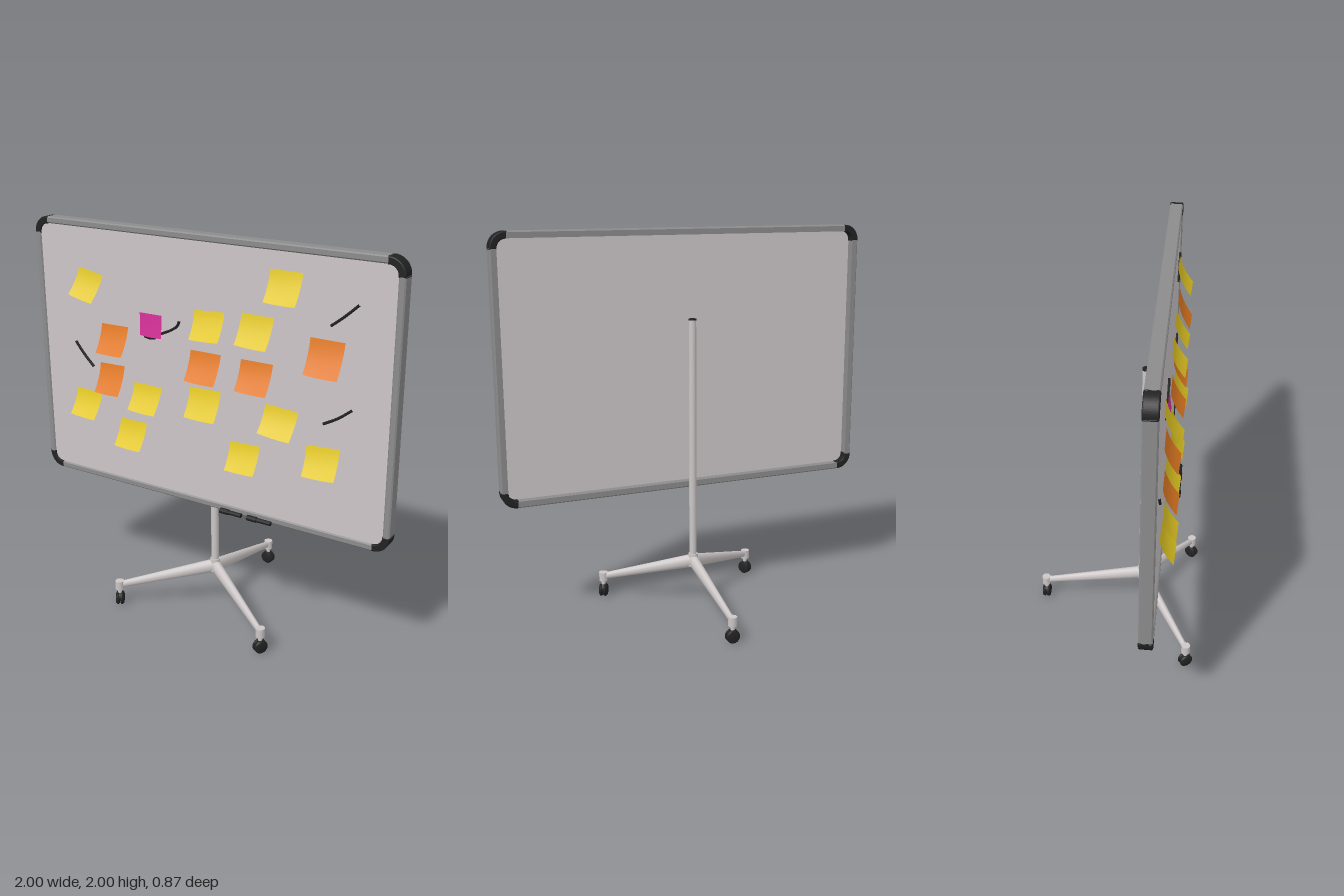
import * as THREE from 'three';

const mat = (name, color, side = THREE.FrontSide) => {
  const m = new THREE.MeshStandardMaterial({ color, side });
  m.name = name;
  return m;
};

export function createModel() {
  const root = new THREE.Group();
  root.name = 'mobileWhiteboard';
  const panelMat = mat('board surface', 0xcdc6c9);
  const frameMat = mat('frame grey', 0x8c8c8c);
  const metalMat = mat('stand metal', 0xccc6c6);
  const blackMat = mat('black plastic', 0x222222);
  const yellow = mat('yellow paper', 0xe2c722, THREE.DoubleSide);
  const orange = mat('orange paper', 0xe27a22, THREE.DoubleSide);
  const pink = mat('pink paper', 0xd8329a, THREE.DoubleSide);

  const add = (name, geo, material, x = 0, y = 0, z = 0, parent = root) => {
    const m = new THREE.Mesh(geo, material);
    m.name = name;
    m.position.set(x, y, z);
    parent.add(m);
    return m;
  };

  // ---- Board: panel, four rails, four corner caps ----
  const CY = 1.318, HW = 1, HH = 0.682, BACK = 0.182, DEPTH = 0.066, R = 0.08, W = 0.034;
  const board = new THREE.Group();
  board.name = 'board';
  board.position.set(0, CY, 0);
  root.add(board);

  add('panel', new THREE.BoxGeometry(2 * HW - 0.05, 2 * HH - 0.05, 0.018), panelMat, 0, 0, 0.233, board);

  // Rail with its outer face at +y and softened edges, running along x
  const bevel = 0.006;
  const rail = (length) => {
    const p = new THREE.Shape();
    const h = DEPTH, b = bevel;
    p.moveTo(0, 0);
    p.lineTo(W - b, 0);
    p.lineTo(W, b);
    p.lineTo(W, h - b);
    p.lineTo(W - b, h);
    p.lineTo(b, h);
    p.lineTo(0, h - b);
    const g = new THREE.ExtrudeGeometry(p, { depth: length, bevelEnabled: false });
    // profile x becomes +y, profile y becomes +z, extrusion becomes x
    g.translate(-W, 0, -length / 2);
    g.applyMatrix4(new THREE.Matrix4().makeBasis(
      new THREE.Vector3(0, 1, 0), new THREE.Vector3(0, 0, 1), new THREE.Vector3(1, 0, 0)));
    return g;
  };
  for (let i = 0; i < 4; i++) {
    const across = i % 2 === 0;
    const m = add('frameRail', rail(2 * ((across ? HW : HH) - R)), frameMat, 0, 0, BACK, board);
    m.rotation.z = i * Math.PI / 2;
    const d = across ? HH : HW;
    m.position.x = -Math.sin(m.rotation.z) * d;
    m.position.y = Math.cos(m.rotation.z) * d;
  }

  // Quarter-ring corner cap
  const ring = new THREE.Shape();
  const outer = R - bevel, inner = R - W - 0.002 + bevel;
  ring.absarc(0, 0, outer, 0, Math.PI / 2, false);
  ring.absarc(0, 0, inner, Math.PI / 2, 0, true);
  const cornerGeo = new THREE.ExtrudeGeometry(ring, {
    depth: DEPTH - 0.01, bevelThickness: bevel, bevelSize: bevel, bevelSegments: 2, curveSegments: 10,
  });
  [[1, 1], [-1, 1], [-1, -1], [1, -1]].forEach(([sx, sy], i) => {
    const m = add('cornerCap', cornerGeo, blackMat, sx * (HW - R), sy * (HH - R), BACK + 0.005, board);
    m.rotation.z = i * Math.PI / 2;
  });

  // ---- Sticky notes: sheets curling away from the board towards the bottom ----
  const note = (name, material, x, y, w, h, tilt, lift = 0.068) => {
    const g = new THREE.PlaneGeometry(w, h, 6, 8);
    const p = g.attributes.position;
    for (let i = 0; i < p.count; i++) {
      const t = 0.5 - p.getY(i) / h, s = p.getX(i) / w;
      p.setZ(i, lift * (0.4 * t + 0.6 * t * t) + 0.006 * t * s);
      p.setY(i, p.getY(i) + 0.012 * t * (s * s - 0.1));
    }
    g.computeVertexNormals();
    add(name, g, material, x, y, 0.255).rotation.z = tilt;
  };
  [
    [-0.66, 1.69, 0.148, 0.135, -0.19], [0.05, 1.583, 0.165, 0.13, 0.05],
    [0.305, 1.595, 0.168, 0.14, -0.03], [0.45, 1.815, 0.163, 0.14, -0.01],
    [-0.32, 1.155, 0.165, 0.13, -0.02], [0.022, 1.19, 0.175, 0.14, 0.01],
    [0.435, 1.18, 0.172, 0.13, -0.07], [-0.695, 1.06, 0.158, 0.13, -0.04],
    [-0.415, 0.945, 0.162, 0.135, -0.01], [0.245, 0.96, 0.163, 0.13, 0.03],
    [0.66, 1.03, 0.168, 0.135, 0.06],
  ].forEach((n) => note('yellowNote', yellow, ...n));
  [
    [-0.51, 1.43, 0.163, 0.14, 0.01], [-0.535, 1.22, 0.152, 0.143, 0.02],
    [0.025, 1.375, 0.17, 0.14, 0], [0.305, 1.375, 0.17, 0.14, 0],
    [0.66, 1.525, 0.17, 0.158, -0.01],
  ].forEach((n) => note('orangeNote', orange, ...n));
  note('pinkNote', pink, -0.29, 1.53, 0.13, 0.115, 0, 0.008);

  // ---- Pen strokes on the surface ----
  [
    [[-0.775, 1.375], [-0.73, 1.32], [-0.665, 1.255]],
    [[0.67, 1.668], [0.73, 1.715], [0.8, 1.778]],
    [[0.65, 1.208], [0.72, 1.247], [0.79, 1.3]],
    [[-0.235, 1.495], [-0.18, 1.52], [-0.14, 1.548], [-0.128, 1.575]],
    [[-0.335, 1.468], [-0.3, 1.463], [-0.265, 1.47]],
  ].forEach((pts) => {
    const curve = new THREE.CatmullRomCurve3(pts.map(([x, y]) => new THREE.Vector3(x, y, 0.247)));
    add('penStroke', new THREE.TubeGeometry(curve, 12, 0.007, 6), blackMat);
  });

  // ---- Marker pens in front of the lower rail ----
  for (const [x, len] of [[0.197, 0.118], [0.355, 0.13]]) {
    const pen = new THREE.Group();
    pen.name = 'markerPen';
    pen.position.set(x, 0.668, 0.307);
    pen.rotation.z = Math.PI / 2;
    root.add(pen);
    add('penBody', new THREE.CylinderGeometry(0.011, 0.011, len, 12), blackMat, 0, 0, 0, pen);
    add('penCap', new THREE.CylinderGeometry(0.014, 0.014, len * 0.4, 12), blackMat, 0, len * 0.3, 0, pen);
  }

  // ---- Stand: pole, hub, three tapered legs on casters ----
  const PX = -0.006, PZ = 0.133;
  add('pole', new THREE.CylinderGeometry(0.019, 0.02, 1.32, 20), metalMat, PX, 0.88, PZ);
  add('poleCap', new THREE.CylinderGeometry(0.0195, 0.0195, 0.008, 20), blackMat, PX, 1.543, PZ);
  add('hub', new THREE.CylinderGeometry(0.025, 0.03, 0.07, 20), metalMat, PX, 0.243, PZ);

  const up = new THREE.Vector3(0, 1, 0);
  for (const [x, z] of [[-0.443, 0.395], [0.421, 0.395], [0.009, -0.412]]) {
    const start = new THREE.Vector3(PX, 0.236, PZ), end = new THREE.Vector3(x, 0.115, z);
    const dir = end.clone().sub(start);
    const yaw = Math.atan2(dir.x, dir.z);

    const legGeo = new THREE.CylinderGeometry(0.018, 0.037, dir.length(), 14);
    legGeo.rotateX(Math.PI / 2);
    legGeo.scale(0.75, 1, 1);
    const leg = add('leg', legGeo, metalMat);
    leg.position.copy(start).lerp(end, 0.5);
    leg.lookAt(end);
    add('legEnd', new THREE.CylinderGeometry(0.023, 0.023, 0.048, 16), metalMat, x, 0.114, z);

    // Twin-wheel caster with its axle along the leg
    const caster = new THREE.Group();
    caster.name = 'caster';
    caster.position.set(x, 0, z);
    caster.rotation.y = yaw;
    root.add(caster);
    add('casterStem', new THREE.CylinderGeometry(0.011, 0.011, 0.04, 12), metalMat, 0, 0.078, 0, caster);
    add('casterHousing', new THREE.CylinderGeometry(0.027, 0.027, 0.012, 16).rotateX(Math.PI / 2),
      blackMat, 0, 0.043, 0, caster);
    for (const s of [-1, 1]) {
      const profile = [[0, -0.009], [0.031, -0.009], [0.035, -0.005], [0.035, 0.003], [0.028, 0.009], [0, 0.011]]
        .map(([r, h]) => new THREE.Vector2(r, h));
      const wheel = add('casterWheel', new THREE.LatheGeometry(profile, 20), blackMat, 0, 0.035, s * 0.012, caster);
      wheel.quaternion.setFromUnitVectors(up, new THREE.Vector3(0, 0, s));
    }
  }
  return root;
}
